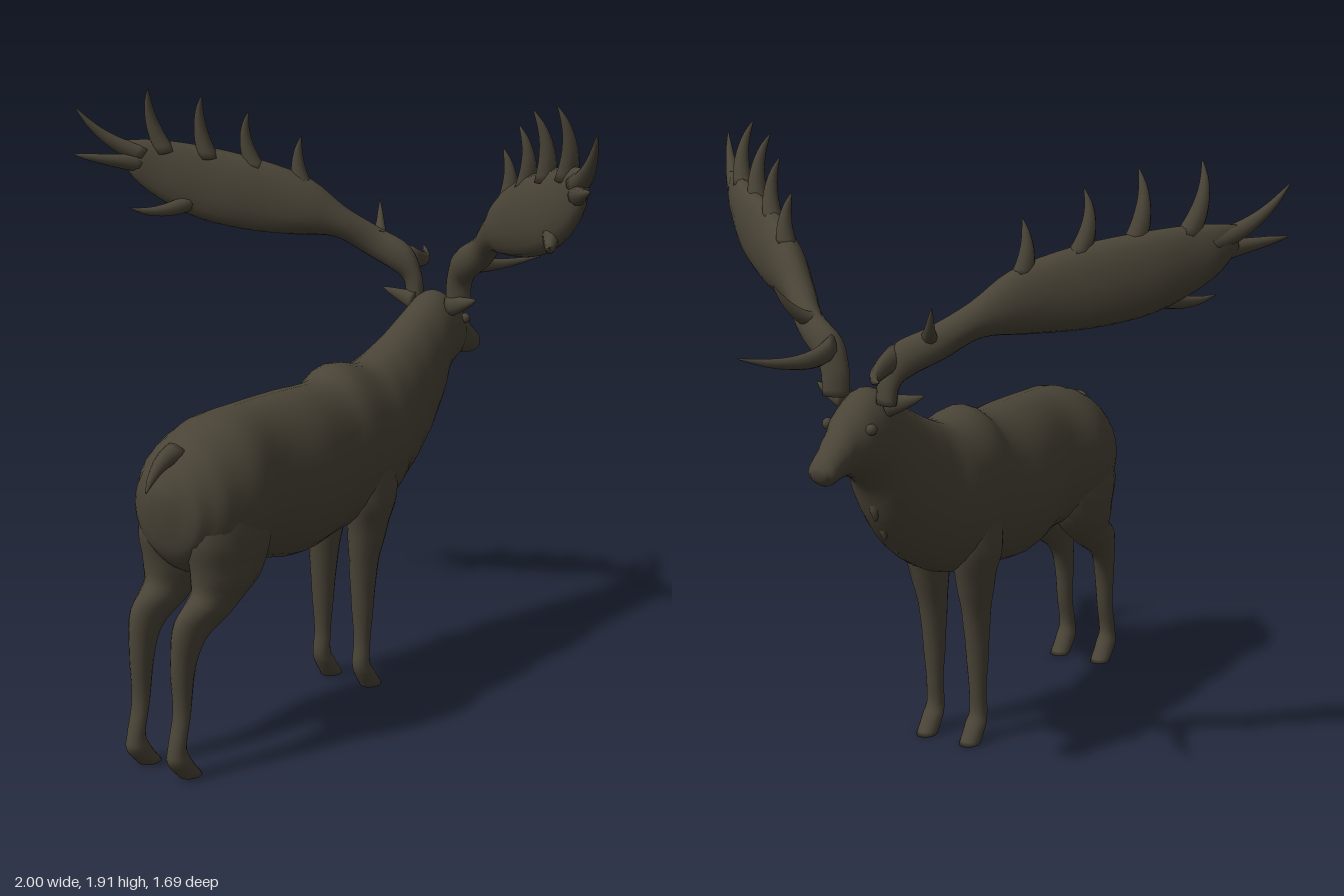
import * as THREE from 'three';

const V = (x, y, z) => new THREE.Vector3(x, y, z);
const CX = 0.02; // body midline

// Smooth closed skin through oval sections [top point, bottom point, half width];
// "across" is the direction in which the half width is measured.
function loft(sections, across, steps, sides = 20) {
  const top = new THREE.CatmullRomCurve3(sections.map(s => s[0]), false, 'centripetal');
  const bottom = new THREE.CatmullRomCurve3(sections.map(s => s[1]), false, 'centripetal');
  const n = sections.length - 1, count = n * steps;
  const at = t => [top.getPoint(t), bottom.getPoint(t)];
  const mid = t => { const [a, b] = at(t); return a.add(b).multiplyScalar(0.5); };
  const [a0, b0] = at(0.5);
  const along = mid(0.55).sub(mid(0.45));
  const side = across.clone().normalize();
  if (a0.sub(b0).cross(side).dot(along) < 0) side.negate();

  const pos = [], index = [];
  for (let i = 0; i <= count; i++) {
    const t = i / count, k = Math.min(Math.floor(t * n), n - 1);
    const w = THREE.MathUtils.lerp(sections[k][2], sections[k + 1][2], THREE.MathUtils.smoothstep(t * n - k, 0, 1));
    const [a, b] = at(t);
    const c = a.clone().add(b).multiplyScalar(0.5), up = a.sub(b).multiplyScalar(0.5);
    for (let j = 0; j < sides; j++) {
      const q = (j / sides) * Math.PI * 2;
      const p = c.clone().addScaledVector(up, Math.cos(q)).addScaledVector(side, w * Math.sin(q));
      pos.push(p.x, p.y, p.z);
    }
  }
  for (let i = 0; i < count; i++) {
    for (let j = 0; j < sides; j++) {
      const a = i * sides + j, b = i * sides + (j + 1) % sides;
      index.push(a, b, a + sides, b, b + sides, a + sides);
    }
  }
  const start = mid(0), end = mid(1), s = pos.length / 3;
  pos.push(start.x, start.y, start.z, end.x, end.y, end.z);
  for (let j = 0; j < sides; j++) {
    const k = (j + 1) % sides, last = count * sides;
    index.push(s, k, j, s + 1, last + j, last + k);
  }
  const g = new THREE.BufferGeometry();
  g.setAttribute('position', new THREE.Float32BufferAttribute(pos, 3));
  g.setIndex(index);
  g.computeVertexNormals();
  return g;
}

// Pointed curved spike through three points; flat < 1 squashes it
function spike(a, b, c, r, flat = 1) {
  const curve = new THREE.QuadraticBezierCurve3(a, b.clone().multiplyScalar(2).sub(a.clone().add(c).multiplyScalar(0.5)), c);
  const d = c.clone().sub(a).normalize();
  const n = V(0, 0, 1).cross(d);
  if (n.length() < 0.3) n.copy(V(0, 1, 0).cross(d));
  n.normalize();
  const sections = [[0, 1], [0.2, 0.85], [0.4, 0.68], [0.6, 0.5], [0.8, 0.32], [1, 0.06]].map(([t, f]) => {
    const p = curve.getPoint(t);
    return [p.clone().addScaledVector(n, r * f), p.clone().addScaledVector(n, -r * f), r * f * flat];
  });
  return loft(sections, d.clone().cross(n), 2, 10);
}

export function createModel() {
  const model = new THREE.Group();
  const hide = new THREE.MeshStandardMaterial({ color: 0x4a4437 });
  hide.name = 'darkBrownHide';
  const add = (name, geometry, parent = model) => {
    const m = new THREE.Mesh(geometry, hide);
    m.name = name;
    parent.add(m);
    return m;
  };

  // Torso, neck and head: top y, top z, bottom y, bottom z, half width
  const trunk = [
    [0.84, 0.785, 0.74, 0.775, 0.04], [0.92, 0.745, 0.64, 0.74, 0.13], [0.985, 0.67, 0.58, 0.67, 0.175],
    [1.025, 0.55, 0.565, 0.55, 0.2], [1.035, 0.4, 0.55, 0.4, 0.168], [1.035, 0.22, 0.518, 0.22, 0.19],
    [1.035, 0.05, 0.54, 0.03, 0.168], [1.072, -0.03, 0.55, -0.08, 0.172], [1.05, -0.17, 0.575, -0.2, 0.17],
    [1.08, -0.27, 0.63, -0.32, 0.14], [1.13, -0.375, 0.70, -0.42, 0.122], [1.185, -0.47, 0.80, -0.505, 0.108],
    [1.225, -0.56, 0.92, -0.565, 0.095], [1.19, -0.635, 0.965, -0.62, 0.085], [1.13, -0.705, 0.99, -0.69, 0.06],
    [1.085, -0.755, 0.985, -0.74, 0.05], [1.055, -0.79, 0.98, -0.775, 0.046], [1.03, -0.807, 1.0, -0.8, 0.025],
  ].map(([ty, tz, by, bz, w]) => [V(CX, ty, tz), V(CX, by, bz), w]);
  add('body', loft(trunk, V(1, 0, 0), 4, 28));

  // Shaggy tufts down the throat
  for (const [y, z] of [[0.66, -0.3], [0.72, -0.39], [0.78, -0.455], [0.85, -0.5]]) {
    add('throatTuft', spike(V(CX, y + 0.06, z + 0.02), V(CX, y + 0.015, z - 0.015), V(CX, y - 0.035, z - 0.02), 0.04));
  }

  add('tail', spike(V(CX, 0.95, 0.7), V(CX, 0.92, 0.78), V(CX, 0.855, 0.835), 0.035));

  // Legs: front y, front z, back y, back z, offset from the midline, half width
  const hind = [
    [0.86, 0.46, 0.86, 0.71, 0.08, 0.09], [0.7, 0.43, 0.7, 0.745, 0.09, 0.1], [0.575, 0.47, 0.6, 0.73, 0.092, 0.085],
    [0.48, 0.58, 0.54, 0.735, 0.09, 0.06], [0.4, 0.705, 0.485, 0.805, 0.085, 0.04], [0.33, 0.742, 0.36, 0.822, 0.08, 0.034],
    [0.2, 0.765, 0.2, 0.815, 0.08, 0.028], [0.1, 0.785, 0.1, 0.84, 0.08, 0.028], [0.05, 0.76, 0.06, 0.845, 0.08, 0.034],
    [0, 0.72, 0, 0.795, 0.08, 0.033],
  ];
  const fore = [
    [0.8, -0.2, 0.8, 0, 0.07, 0.09], [0.65, -0.2, 0.65, 0, 0.09, 0.078], [0.54, -0.17, 0.54, -0.02, 0.085, 0.058],
    [0.42, -0.135, 0.42, -0.03, 0.08, 0.043], [0.3, -0.115, 0.3, -0.04, 0.08, 0.037], [0.16, -0.1, 0.16, -0.05, 0.08, 0.028],
    [0.09, -0.1, 0.09, -0.042, 0.08, 0.029], [0.05, -0.125, 0.055, -0.052, 0.08, 0.034], [0, -0.163, 0, -0.085, 0.08, 0.033],
  ];

  // Antler beam widening into a palm: top point, bottom point, half thickness
  const beam = [
    [0.055, 1.19, -0.585, 0.12, 1.19, -0.575, 0.035], [0.06, 1.27, -0.58, 0.13, 1.25, -0.57, 0.035],
    [0.10, 1.36, -0.57, 0.16, 1.28, -0.55, 0.04], [0.2, 1.42, -0.535, 0.24, 1.33, -0.515, 0.038],
    [0.29, 1.49, -0.47, 0.32, 1.39, -0.45, 0.045], [0.38, 1.58, -0.41, 0.42, 1.4, -0.37, 0.055],
    [0.52, 1.65, -0.31, 0.57, 1.42, -0.27, 0.052], [0.7, 1.7, -0.2, 0.72, 1.47, -0.17, 0.045],
    [0.82, 1.72, -0.11, 0.85, 1.57, -0.08, 0.03], [0.9, 1.72, -0.05, 0.9, 1.65, -0.04, 0.012],
  ];
  // Tines: root, middle, tip, root radius
  const tines = [
    [0.41, 1.57, -0.39, 0.42, 1.65, -0.385, 0.4, 1.725, -0.38, 0.034],
    [0.53, 1.62, -0.3, 0.555, 1.72, -0.28, 0.53, 1.81, -0.27, 0.035],
    [0.66, 1.66, -0.21, 0.675, 1.77, -0.19, 0.645, 1.865, -0.17, 0.036],
    [0.78, 1.68, -0.13, 0.81, 1.79, -0.1, 0.79, 1.89, -0.07, 0.036],
    [0.84, 1.67, -0.09, 0.93, 1.73, -0.01, 0.998, 1.83, 0.06, 0.035],
    [0.84, 1.64, -0.09, 0.92, 1.66, 0.01, 0.992, 1.68, 0.085, 0.032],
    [0.7, 1.52, -0.18, 0.76, 1.49, -0.08, 0.815, 1.505, 0.01, 0.032],
    [0.11, 1.33, -0.57, 0.135, 1.3, -0.7, 0.24, 1.32, -0.835, 0.036],
    [0.2, 1.39, -0.53, 0.235, 1.42, -0.585, 0.272, 1.495, -0.635, 0.03],
  ];
  // The pair of antlers is tipped slightly to one side
  const antlers = new THREE.Group();
  antlers.name = 'antlers';
  antlers.position.set(0.023, 1.25, -0.59);
  antlers.rotation.set(0, -0.02, 0.026);
  model.add(antlers);

  for (const s of [1, -1]) {
    const side = s > 0 ? 'left' : 'right';
    for (const [name, rows] of [['HindLeg', hind], ['FrontLeg', fore]]) {
      const sections = rows.map(([fy, fz, by, bz, x, w]) => [V(CX + s * x, fy, fz), V(CX + s * x, by, bz), w]);
      add(side + name, loft(sections, V(1, 0, 0), 4, 16));
    }
    add(side + 'Ear', spike(V(CX + s * 0.07, 1.18, -0.56), V(CX + s * 0.13, 1.195, -0.555), V(CX + s * 0.185, 1.215, -0.54), 0.035, 0.7));
    const eye = add(side + 'Eye', new THREE.SphereGeometry(0.017, 12, 8));
    eye.position.set(CX + s * 0.075, 1.125, -0.645);

    const P = (x, y, z) => V(s * x, y - 1.25, z + 0.59);
    const palm = beam.map(([a, b, c, d, e, f, w]) => [P(a, b, c), P(d, e, f), w]);
    add(side + 'Antler', loft(palm, V(-0.55 * s, 0, 0.83), 4, 16), antlers);
    for (const [a, b, c, d, e, f, g, h, i, r] of tines) {
      add(side + 'Tine', spike(P(a, b, c), P(d, e, f), P(g, h, i), r, 0.85), antlers);
    }
  }
  return model;
}
